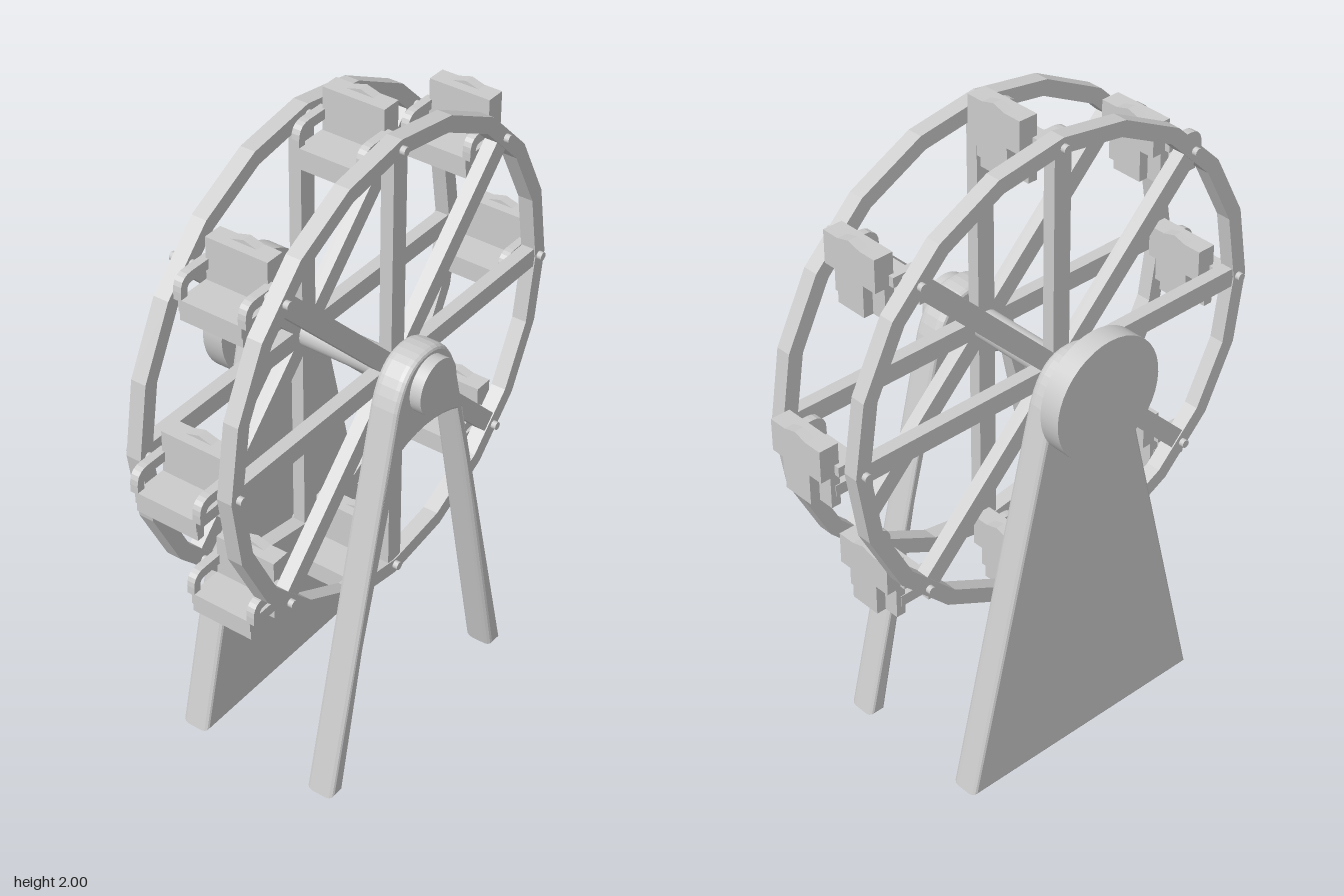
import * as THREE from 'three';

const HUB_Y = 1.225, MID_Z = 0.023, PIVOT_R = 0.685;
const material = new THREE.MeshStandardMaterial({ color: 0xcccccc, flatShading: true });
const smooth = new THREE.MeshStandardMaterial({ color: 0xcccccc });

function add(parent, name, geometry, x = 0, y = 0, z = 0, mat = material) {
  const mesh = new THREE.Mesh(geometry, mat);
  mesh.name = name;
  mesh.position.set(x, y, z);
  parent.add(mesh);
  return mesh;
}

const box = (w, h, d) => new THREE.BoxGeometry(w, h, d);

// Cylinder lying along z between two depths
function rod(radius, z0, z1, sides = 32) {
  return new THREE.CylinderGeometry(radius, radius, z1 - z0, sides)
    .rotateX(Math.PI / 2).translate(0, 0, (z0 + z1) / 2);
}

// Tapered support outline with a rounded head; optionally open between two legs
function supportShape(open) {
  const s = new THREE.Shape();
  s.moveTo(0.43, 0);
  s.lineTo(0.14, 1.2);
  s.bezierCurveTo(0.11, 1.29, 0.07, 1.327, 0, 1.327);
  s.bezierCurveTo(-0.07, 1.327, -0.11, 1.29, -0.14, 1.2);
  s.lineTo(-0.43, 0);
  if (open) {
    s.lineTo(-0.375, 0);
    s.lineTo(-0.16, 1.035);
    s.quadraticCurveTo(0, 1.115, 0.16, 1.035);
    s.lineTo(0.375, 0);
  }
  s.closePath();
  return s;
}

function support(parent, name, open, z0, z1) {
  const bevel = 0.022;
  const geometry = new THREE.ExtrudeGeometry(supportShape(open), {
    depth: z1 - z0 - 2 * bevel, bevelThickness: bevel, bevelSize: 0.012,
    bevelOffset: -0.012, bevelSegments: 3, curveSegments: 8,
  });
  add(parent, name, geometry, 0, 0, z0 + bevel);
}

// Twenty-sided ring with a corner at the top
function rimGeometry(outer, inner, depth) {
  const corners = (r) => Array.from({ length: 20 }, (_, i) => {
    const a = i * Math.PI / 10;
    return new THREE.Vector2(r * Math.cos(a), r * Math.sin(a));
  });
  const shape = new THREE.Shape(corners(outer));
  shape.holes.push(new THREE.Path(corners(inner)));
  return new THREE.ExtrudeGeometry(shape, { depth, bevelEnabled: false }).translate(0, 0, -depth / 2);
}

// Curved armrest rising from the seat front and running to the backrest
function armGeometry() {
  const s = new THREE.Shape();
  s.moveTo(-0.085, -0.055);
  s.lineTo(-0.085, -0.03);
  s.quadraticCurveTo(-0.085, 0.015, -0.04, 0.015);
  s.lineTo(0.04, 0.015);
  s.lineTo(0.04, -0.015);
  s.lineTo(-0.04, -0.015);
  s.quadraticCurveTo(-0.06, -0.015, -0.06, -0.035);
  s.lineTo(-0.06, -0.055);
  s.closePath();
  return new THREE.ExtrudeGeometry(s, { depth: 0.025, bevelEnabled: false, curveSegments: 5 })
    .translate(0, 0, -0.0125);
}

// Outer backrest layer: gabled top, narrower stem below
function backGeometry() {
  const half = [[0.05, -0.115], [0.05, -0.02], [0.098, -0.02], [0.098, 0.078], [0.042, 0.078]];
  const points = [...half, [0, 0.09], ...half.slice().reverse().map(([z, y]) => [-z, y])];
  const shape = new THREE.Shape(points.map(([z, y]) => new THREE.Vector2(z, y)));
  return new THREE.ExtrudeGeometry(shape, { depth: 0.03, bevelEnabled: false }).rotateY(Math.PI / 2);
}

function makeSeat() {
  const seat = new THREE.Group();
  add(seat, 'seatBase', box(0.125, 0.035, 0.2), -0.0225, -0.0675, 0);
  add(seat, 'seatFoot', box(0.025, 0.04, 0.2), -0.068, -0.095, 0);
  add(seat, 'backrestInner', box(0.03, 0.193, 0.196), 0.04, -0.0185, 0);
  add(seat, 'backrestOuter', backGeometry(), 0.055, 0, 0);
  for (const side of [-1, 1]) {
    add(seat, 'armrest', armGeometry(), 0, 0, side * 0.102);
    add(seat, 'pivotPin', rod(0.0125, -0.04, 0.04, 12), 0, 0, side * 0.147, smooth);
  }
  return seat;
}

export function createModel() {
  const model = new THREE.Group();
  model.name = 'ferrisWheel';

  // Stand and hub
  support(model, 'frontLegs', true, 0.2, 0.29);
  support(model, 'backPanel', false, -0.255, -0.165);
  add(model, 'axle', rod(0.045, -0.2, 0.25, 20), 0, HUB_Y, 0, smooth);
  add(model, 'frontHubCap', rod(0.083, 0.28, 0.325), 0, HUB_Y, 0, smooth);
  add(model, 'backDisc', rod(0.185, -0.328, -0.262, 40), 0, HUB_Y, 0, smooth);
  add(model, 'discSpacer', rod(0.08, -0.27, -0.24), 0, HUB_Y, 0, smooth);

  // Two rims, each with eight spokes
  for (const side of [-1, 1]) {
    const wheel = new THREE.Group();
    wheel.name = side > 0 ? 'frontWheel' : 'backWheel';
    wheel.position.set(0, HUB_Y, MID_Z + side * 0.148);
    add(wheel, 'rim', rimGeometry(0.715, 0.668, 0.047));
    for (let i = 0; i < 4; i++) {
      add(wheel, 'spokePair', box(1.35, 0.058, 0.04)).rotation.z = i * Math.PI / 4;
    }
    model.add(wheel);
  }

  // Eight upright seats
  for (let i = 0; i < 8; i++) {
    const a = i * Math.PI / 4;
    const seat = makeSeat();
    seat.name = 'seat';
    seat.position.set(PIVOT_R * Math.cos(a), HUB_Y + PIVOT_R * Math.sin(a), MID_Z);
    model.add(seat);
  }
  return model;
}
